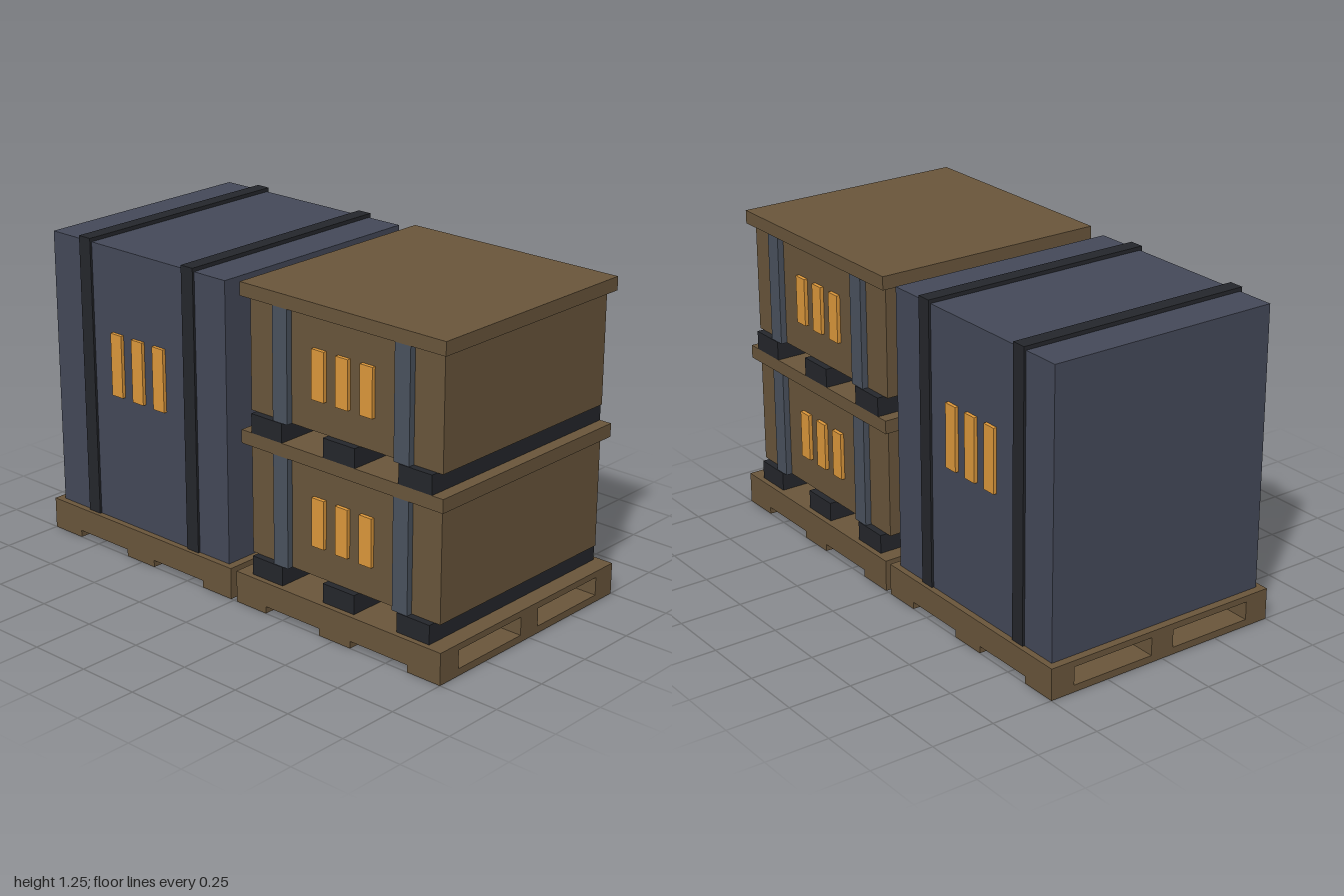
import * as THREE from 'three';

const material = (color) => new THREE.MeshStandardMaterial({ color });
const wood = material(0x6b573c);
const navy = material(0x454a5a);
const black = material(0x25272c);
const slate = material(0x4b535f);
const amber = material(0xe09a3c);

// Box given by its extents along each axis
function block(parent, name, mat, [x0, x1], [y0, y1], [z0, z1]) {
  const mesh = new THREE.Mesh(new THREE.BoxGeometry(x1 - x0, y1 - y0, z1 - z0), mat);
  mesh.position.set((x0 + x1) / 2, (y0 + y1) / 2, (z0 + z1) / 2);
  mesh.name = name;
  parent.add(mesh);
}

const around = (c, width) => [c - width / 2, c + width / 2];

function group(name, x, y) {
  const g = new THREE.Group();
  g.name = name;
  g.position.set(x, y, 0);
  return g;
}

// Three upright marker bars on both the front and the back face
function markers(parent, y, z) {
  for (const side of [-1, 1])
    for (const i of [-1, 0, 1])
      block(parent, 'markerBar', amber, around(i * 0.113, 0.058), y, around(side * z, 0.02));
}

// Deck on three cross stringers, with three skids underneath
function pallet(x) {
  const g = group('pallet', x, 0);
  block(g, 'deck', wood, [-0.4925, 0.4925], [0.1, 0.125], [-0.5, 0.5]);
  for (const i of [-1, 0, 1]) {
    block(g, 'stringer', wood, [-0.4925, 0.4925], [0.028, 0.1], around(i * 0.45, 0.1));
    block(g, 'skid', wood, around(i * 0.4175, 0.15), [0, 0.028], [-0.5, 0.5]);
  }
  return g;
}

// Tall case held by two straps
function tallCase(x, y) {
  const g = group('tallCase', x, y);
  block(g, 'caseBody', navy, [-0.46, 0.46], [0, 1.11], [-0.475, 0.475]);
  for (const side of [-1, 1]) {
    const sx = around(side * 0.275, 0.06);
    block(g, 'strapTop', black, sx, [1.11, 1.125], [-0.484, 0.484]);
    block(g, 'strapFront', black, sx, [0, 1.11], [0.475, 0.484]);
    block(g, 'strapBack', black, sx, [0, 1.11], [-0.484, -0.475]);
  }
  markers(g, [0.525, 0.775], 0.479);
  return g;
}

// Low crate on runners, with battens and an overhanging lid
function crate(x, y) {
  const g = group('crate', x, y);
  for (const i of [-1, 0, 1])
    block(g, 'runner', black, around(i * 0.35, 0.15), [0, 0.075], [-0.478, 0.478]);
  block(g, 'crateBody', wood, [-0.45, 0.45], [0.075, 0.51], [-0.45, 0.45]);
  block(g, 'lid', wood, [-0.475, 0.475], [0.51, 0.5625], [-0.478, 0.478]);
  for (const sx of [-1, 1])
    for (const sz of [-1, 1])
      block(g, 'batten', slate, around(sx * 0.285, 0.07), [0.075, 0.51], around(sz * 0.4625, 0.025));
  markers(g, [0.198, 0.387], 0.455);
  return g;
}

export function createModel() {
  const model = new THREE.Group();
  model.name = 'palletisedCargo';
  model.add(
    pallet(-0.5075), pallet(0.5075),
    tallCase(-0.508, 0.125),
    crate(0.505, 0.125), crate(0.505, 0.6875),
  );
  return model;
}
